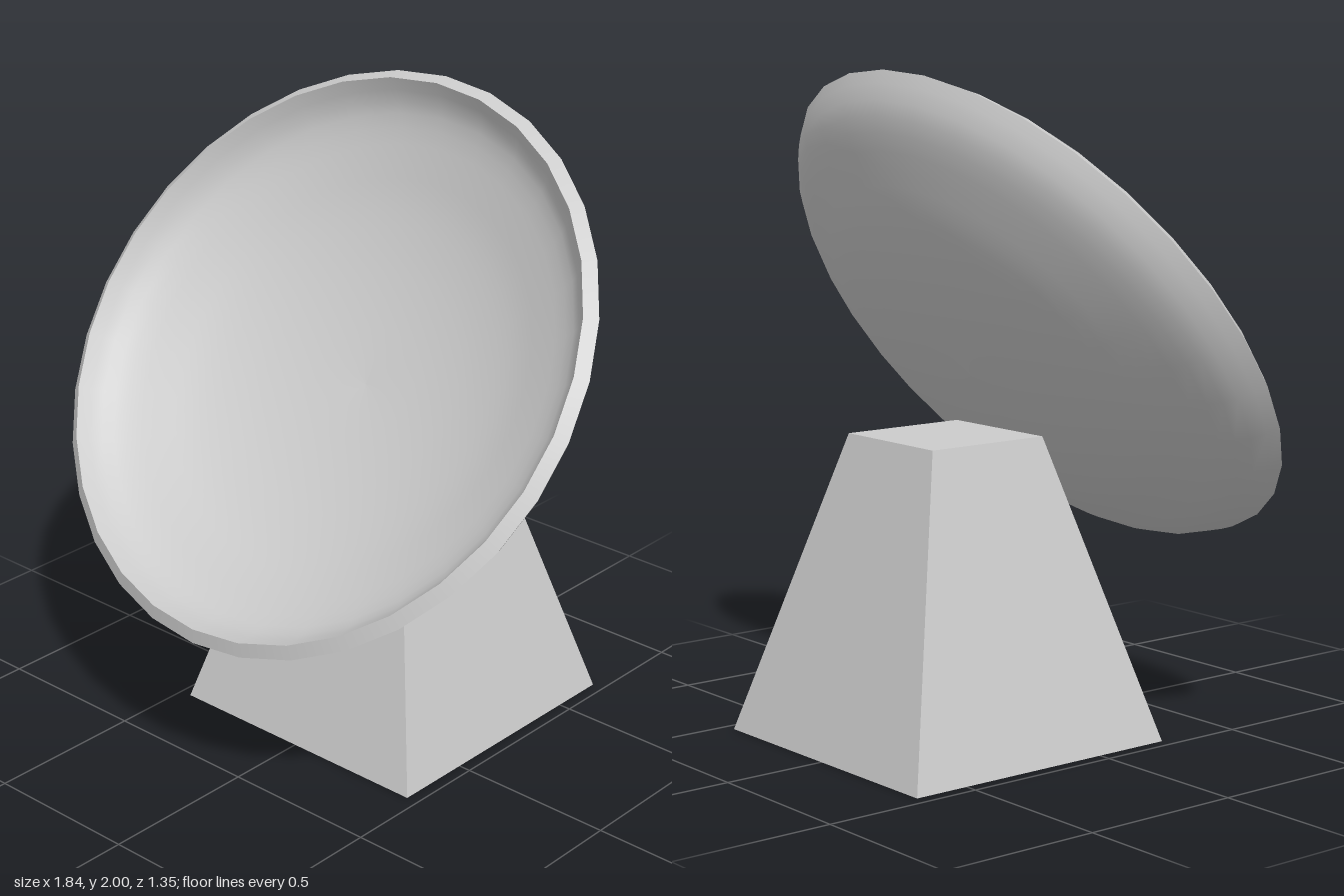
import * as THREE from 'three';

const material = new THREE.MeshStandardMaterial({ color: 0xcccccc });

function addMesh(parent, name, geometry, mat = material) {
  const mesh = new THREE.Mesh(geometry, mat);
  mesh.name = name;
  parent.add(mesh);
  return mesh;
}

export function createModel() {
  const model = new THREE.Group();
  model.name = 'dishOnPedestal';

  // Pedestal: square block tapering to a flat top
  const flat = new THREE.MeshStandardMaterial({ color: 0xcccccc, flatShading: true });
  const pedestalGeo = new THREE.CylinderGeometry(0.205 * Math.SQRT2, 0.461 * Math.SQRT2, 0.92, 4);
  pedestalGeo.rotateY(Math.PI / 4);
  addMesh(model, 'pedestal', pedestalGeo, flat).position.set(0, 0.46, -0.215);

  // Dish: a bowl of even thickness, tilted up towards the front
  const dish = new THREE.Group();
  dish.name = 'dish';
  dish.position.set(0, 1.268, 0.12);
  dish.rotation.x = 0.921;
  model.add(dish);

  // Back profile from the centre to the rim
  const curve = new THREE.SplineCurve([
    [0, -0.298], [0.185, -0.288], [0.361, -0.266], [0.5, -0.236], [0.6, -0.206],
    [0.691, -0.17], [0.792, -0.126], [0.868, -0.073], [0.92, 0],
  ].map(([r, y]) => new THREE.Vector2(r, y)));
  const thickness = 0.046;
  const steps = 16;
  const outer = [];
  const inner = [];
  for (let i = 0; i <= steps; i++) {
    const p = curve.getPoint(i / steps);
    const t = i === 0 ? new THREE.Vector2(1, 0) : curve.getTangent(i / steps);
    outer.push(p);
    inner.push(new THREE.Vector2(Math.max(0, p.x - t.y * thickness), p.y + t.x * thickness));
  }
  inner[steps].set(0.884, 0.028);

  const sides = 32;
  addMesh(dish, 'dishBack', new THREE.LatheGeometry(outer, sides));
  addMesh(dish, 'dishRim', new THREE.LatheGeometry([outer[steps], inner[steps]], sides));
  addMesh(dish, 'dishFront', new THREE.LatheGeometry([...inner].reverse(), sides));

  return model;
}
